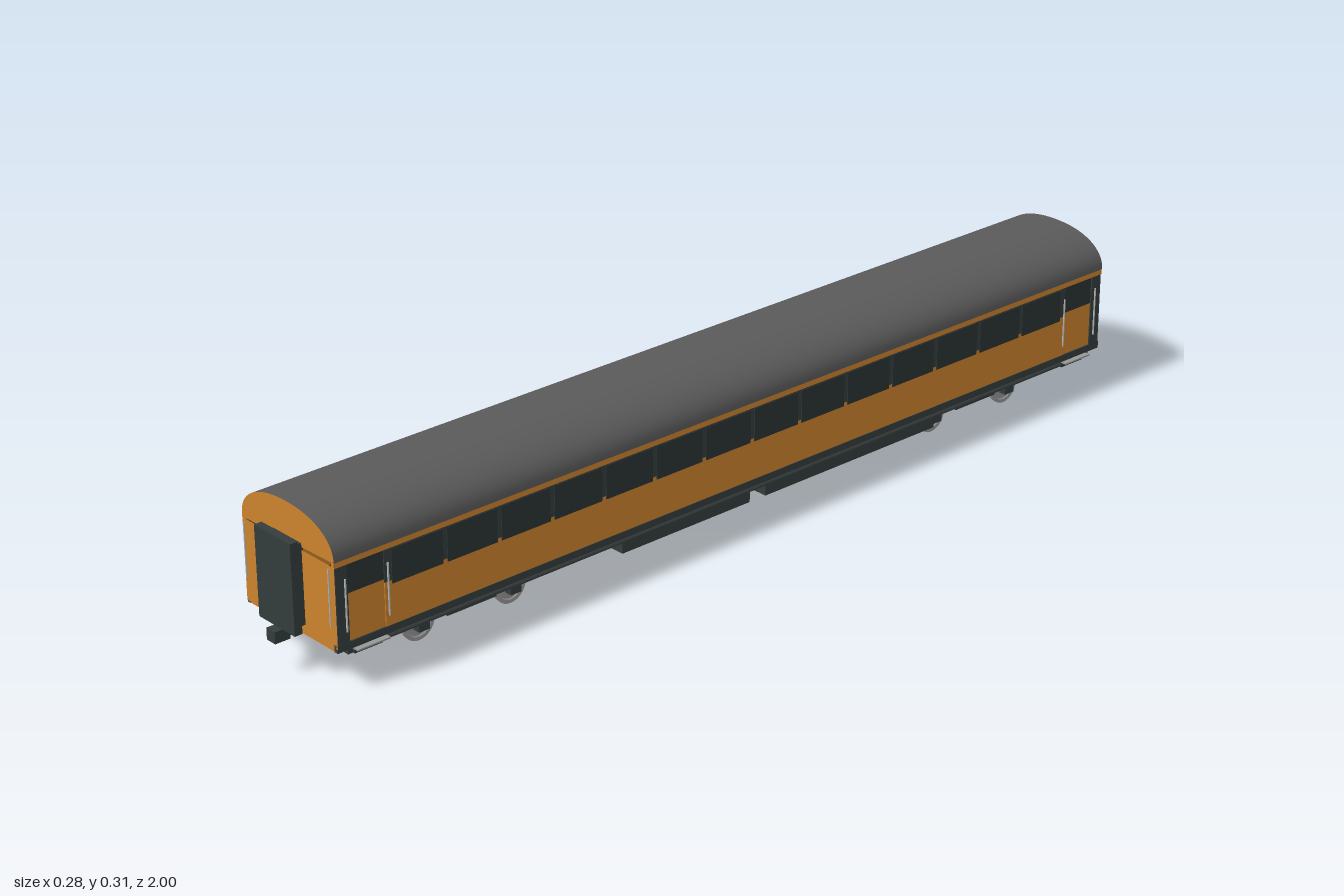
import * as THREE from 'three';

const mat = (name, color, side = THREE.FrontSide) => {
  const m = new THREE.MeshStandardMaterial({ color, side });
  m.name = name;
  return m;
};

export function createModel() {
  const orange = mat('orange paint', 0xcc822e);
  const dark = mat('dark frame', 0x343c3c);
  const glass = mat('window glass', 0x2a3233);
  const roofGray = mat('roof gray', 0x5a5a5a, THREE.DoubleSide);
  const skirtGray = mat('skirt gray', 0x4a4f50);
  const steel = mat('steel', 0x969696);
  const rail = mat('handrail', 0xb8b8b8);

  const model = new THREE.Group();
  model.name = 'passengerCoach';

  const add = (parent, name, geo, m, x = 0, y = 0, z = 0) => {
    const mesh = new THREE.Mesh(geo, m);
    mesh.name = name;
    mesh.position.set(x, y, z);
    parent.add(mesh);
    return mesh;
  };
  // Box given by its limits on each axis
  const box = (parent, name, m, x0, x1, y0, y1, z0, z1) =>
    add(parent, name, new THREE.BoxGeometry(x1 - x0, y1 - y0, z1 - z0), m,
      (x0 + x1) / 2, (y0 + y1) / 2, (z0 + z1) / 2);
  const rod = (parent, name, m, r, length, x, y, z, axis = 'y') => {
    const mesh = add(parent, name, new THREE.CylinderGeometry(r, r, length, 12), m, x, y, z);
    if (axis === 'x') mesh.rotation.z = Math.PI / 2;
    if (axis === 'z') mesh.rotation.x = Math.PI / 2;
  };

  const W = 0.13, L = 0.955, EAVE = 0.245, RISE = 0.07;
  // Roof cross-section, t from 0 (+x eave) to 1 (-x eave)
  const roofPoint = (t) => {
    const a = t * Math.PI, c = Math.cos(a), s = Math.max(0, Math.sin(a));
    return new THREE.Vector2(W * Math.sign(c) * Math.abs(c) ** 0.91, EAVE + RISE * s ** 0.91);
  };

  // Roof: a plane bent over the cross-section
  const roofGeo = new THREE.PlaneGeometry(1, 1, 40, 1);
  const p = roofGeo.attributes.position;
  for (let i = 0; i < p.count; i++) {
    const q = roofPoint(0.5 - p.getX(i));
    p.setXYZ(i, q.x, q.y, -p.getY(i) * 2 * L);
  }
  roofGeo.computeVertexNormals();
  add(model, 'roof', roofGeo, roofGray);

  box(model, 'floor', orange, -0.122, 0.122, 0.076, 0.084, -L + 0.002, L - 0.002);

  // Side walls; the second is the first turned half round
  for (const turn of [0, Math.PI]) {
    const side = new THREE.Group();
    side.name = turn ? 'rightSide' : 'leftSide';
    side.rotation.y = turn;
    model.add(side);
    box(side, 'lowerPanel', orange, 0.122, 0.128, 0.088, 0.172, -0.85, 0.85);
    box(side, 'windowBand', dark, 0.122, 0.128, 0.172, 0.234, -0.85, 0.85);
    box(side, 'eaveStripe', orange, 0.122, 0.129, 0.234, EAVE, -L, L);
    box(side, 'sill', dark, 0.12, 0.129, 0.074, 0.088, -L, L);
    rod(side, 'skirtPipe', skirtGray, 0.007, 1.84, 0.119, 0.069, 0, 'z');
    box(side, 'skirt', dark, 0.112, 0.124, 0.062, 0.076, -0.93, 0.93);
    for (let i = 0; i < 14; i++) {
      const z = -0.78 + i * 0.12;
      box(side, 'windowPane', glass, 0.127, 0.13, 0.166, 0.232, z - 0.055, z + 0.055);
    }
    // Doors, end posts, steps and handrails
    for (const s of [-1, 1]) {
      const span = (name, m, x0, x1, y0, y1, a, b) =>
        box(side, name, m, x0, x1, y0, y1, Math.min(s * a, s * b), Math.max(s * a, s * b));
      span('doorPanel', orange, 0.118, 0.126, 0.088, 0.178, 0.85, 0.928);
      span('doorWindow', glass, 0.118, 0.1262, 0.178, 0.234, 0.85, 0.928);
      span('endPost', dark, 0.12, 0.129, 0.088, 0.234, 0.928, L - 0.002);
      span('stepBoard', steel, 0.118, 0.139, 0.07, 0.073, 0.85, 0.92);
      span('stepBracket', dark, 0.118, 0.123, 0.058, 0.08, 0.855, 0.915);
      rod(side, 'doorRail', rail, 0.0018, 0.1, 0.132, 0.16, s * 0.845);
      rod(side, 'doorRail', rail, 0.0018, 0.1, 0.132, 0.16, s * 0.935);
    }
  }

  // End walls with gangway and coupler
  for (const turn of [0, Math.PI]) {
    const end = new THREE.Group();
    end.name = turn ? 'backEnd' : 'frontEnd';
    end.rotation.y = turn;
    model.add(end);
    const lower = new THREE.Shape();
    lower.moveTo(-0.12, 0.075).lineTo(0.12, 0.075);
    lower.quadraticCurveTo(W, 0.075, W, 0.086);
    lower.lineTo(W, 0.237).lineTo(-W, 0.237).lineTo(-W, 0.086);
    lower.quadraticCurveTo(-W, 0.075, -0.12, 0.075);
    add(end, 'lowerEndWall', new THREE.ShapeGeometry(lower), orange, 0, 0, L);
    const arch = Array.from({ length: 41 }, (_, i) => roofPoint(i / 40));
    arch.push(new THREE.Vector2(-W, 0.238));
    add(end, 'upperEndWall', new THREE.ShapeGeometry(new THREE.Shape(arch)), orange, 0, 0, L);
    box(end, 'gangwayBellows', dark, -0.04, 0.04, 0.095, 0.25, L - 0.003, 0.972);
    box(end, 'gangwayPlate', dark, -0.051, 0.051, 0.087, 0.262, 0.97, 0.986);
    box(end, 'couplerShank', dark, -0.008, 0.008, 0.066, 0.078, 0.88, 0.98);
    box(end, 'couplerHead', dark, -0.012, 0.012, 0.062, 0.085, 0.968, 1.0);
    for (const s of [-1, 1]) rod(end, 'endRail', rail, 0.0015, 0.108, s * 0.12, 0.178, L + 0.005);
  }

  // Bogies
  const wheelProfile = [[0.006, -0.005], [0.026, -0.003], [0.028, -0.005], [0.035, -0.005],
    [0.034, 0.004], [0.028, 0.005], [0.026, 0.003], [0.006, 0.005]]
    .map(([r, h]) => new THREE.Vector2(r, h));
  const wheelGeo = new THREE.LatheGeometry(wheelProfile, 28).toNonIndexed();
  wheelGeo.computeVertexNormals();
  for (const zc of [0.637, -0.637]) {
    const bogie = new THREE.Group();
    bogie.name = 'bogie';
    bogie.position.z = zc;
    model.add(bogie);
    box(bogie, 'bolster', dark, -0.085, 0.085, 0.045, 0.076, -0.028, 0.028);
    for (const s of [-1, 1]) {
      box(bogie, 'sideFrame', dark, s * 0.085 - 0.006, s * 0.085 + 0.006, 0.048, 0.064, -0.13, 0.13);
      box(bogie, 'springBox', dark, s * 0.085 - 0.008, s * 0.085 + 0.008, 0.038, 0.062, -0.055, 0.055);
      rod(bogie, 'axle', steel, 0.006, 0.14, 0, 0.037, s * 0.103, 'x');
      for (const t of [-1, 1]) {
        const wheel = add(bogie, 'wheel', wheelGeo, steel, t * 0.068, 0.035, s * 0.103);
        wheel.rotation.z = t * Math.PI / 2;
        box(bogie, 'axleBox', dark, t * 0.081 - 0.008, t * 0.081 + 0.008, 0.025, 0.05,
          s * 0.103 - 0.012, s * 0.103 + 0.012);
      }
    }
  }

  // Underfloor equipment boxes
  for (const [z0, z1] of [[-0.015, 0.3], [-0.505, -0.055]]) {
    box(model, 'equipmentBox', dark, -0.107, 0.107, 0.03, 0.064, z0, z1);
    box(model, 'equipmentMount', dark, -0.09, 0.09, 0.064, 0.077, z0 + 0.02, z1 - 0.02);
    for (const s of [-1, 1]) {
      const zc = z0 < -0.1 ? -0.18 : 0.18;
      box(model, 'drainTray', skirtGray, s * 0.07 - 0.02, s * 0.07 + 0.02, 0.025, 0.031, zc - 0.045, zc + 0.045);
    }
  }
  return model;
}
